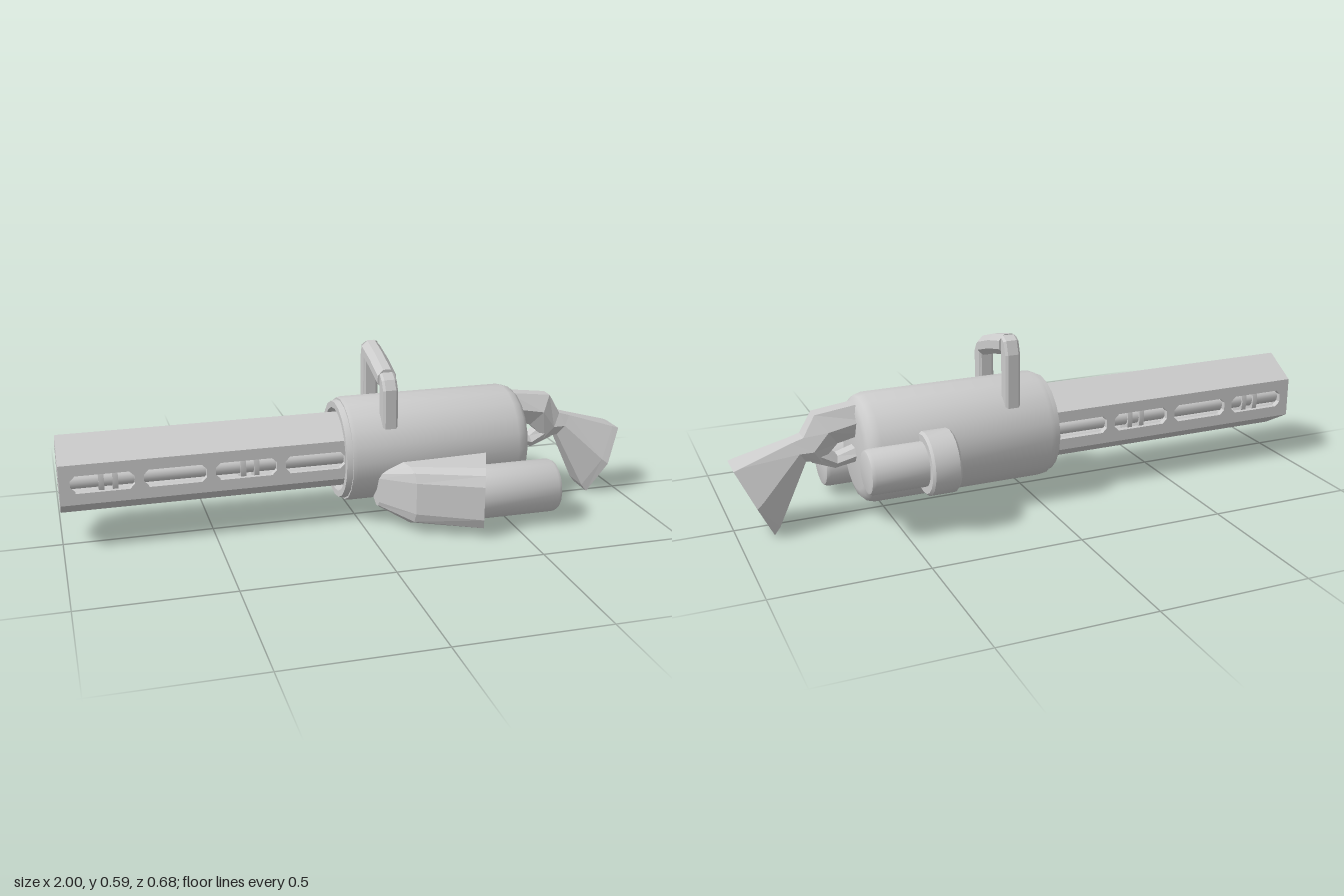
import * as THREE from 'three';
import { toCreasedNormals } from 'three/addons/utils/BufferGeometryUtils.js';

const AXIS_Y = 0.235, AXIS_Z = -0.036;

export function createModel() {
  const root = new THREE.Group();
  const mat = new THREE.MeshStandardMaterial({ color: 0xcccccc });
  const flat = new THREE.MeshStandardMaterial({ color: 0xcccccc, flatShading: true });

  function add(name, geo, material = mat, parent = root) {
    const m = new THREE.Mesh(geo, material);
    m.name = name;
    parent.add(m);
    return m;
  }

  // Turned part along x: profile is a list of [x, radius]
  function turned(name, profile, y, z, sides = 20, parent = root) {
    const pts = profile.map(([x, r]) => new THREE.Vector2(r, x));
    const geo = new THREE.LatheGeometry(pts, sides);
    geo.rotateZ(-Math.PI / 2);
    const m = add(name, toCreasedNormals(geo, 0.6), mat, parent);
    m.position.set(0, y, z);
    return m;
  }

  // Closed solid skinned over equal-length rings of [x, y, z]
  function loft(name, rings, material = flat) {
    const n = rings[0].length, tris = [];
    for (let s = 0; s + 1 < rings.length; s++) {
      for (let i = 0; i < n; i++) {
        const j = (i + 1) % n, a = rings[s], b = rings[s + 1];
        tris.push([a[i], a[j], b[j]], [a[i], b[j], b[i]]);
      }
    }
    const last = rings[rings.length - 1];
    for (let i = 1; i + 1 < n; i++) {
      tris.push([rings[0][0], rings[0][i + 1], rings[0][i]], [last[0], last[i], last[i + 1]]);
    }
    // Flip the winding when the enclosed volume comes out negative
    const v = tris.map(t => t.map(p => new THREE.Vector3(...p)));
    const volume = v.reduce((sum, [a, b, c]) => sum + a.dot(b.clone().cross(c)), 0);
    if (volume < 0) tris.forEach(t => t.reverse());
    const geo = new THREE.BufferGeometry();
    geo.setAttribute('position', new THREE.Float32BufferAttribute(tris.flat(2), 3));
    geo.computeVertexNormals();
    return add(name, geo, material);
  }

  // Main drum with a recessed front collar and rounded back
  turned('body', [
    [0.02, 0], [0.02, 0.146], [-0.06, 0.146], [-0.06, 0.168], [-0.04, 0.172],
    [-0.04, 0.178], [-0.025, 0.181], [0.555, 0.181], [0.58, 0.174], [0.595, 0.16],
    [0.602, 0.135], [0.602, 0],
  ], AXIS_Y, AXIS_Z);

  // Hexagonal shroud: six walls, slotted on both sides
  const shroud = new THREE.Group();
  shroud.name = 'barrelShroud';
  shroud.position.set(0, AXIS_Y, AXIS_Z);
  root.add(shroud);
  const hexR = 0.136, apothem = hexR * Math.cos(Math.PI / 6), wall = 0.02;
  function poly(points, Type) {
    return new Type(points.map(p => new THREE.Vector2(...p)));
  }
  for (let i = 0; i < 6; i++) {
    const h = hexR / 2;
    const shape = poly([[-0.998, -h], [0.02, -h], [0.02, h], [-0.998, h]], THREE.Shape);
    if (i % 3 === 0) {
      for (const x0 of [-0.965, -0.73, -0.495, -0.26]) {
        const x1 = x0 + 0.205, s = 0.03, c = 0.016;
        shape.holes.push(poly([[x0, c - s], [x0, s - c], [x0 + c, s], [x1 - c, s],
          [x1, s - c], [x1, c - s], [x1 - c, -s], [x0 + c, -s]], THREE.Path));
      }
    }
    const geo = new THREE.ExtrudeGeometry(shape, { depth: wall, bevelEnabled: false });
    geo.translate(0, 0, apothem - wall);
    geo.rotateX(i * Math.PI / 3);
    add('shroudWall', geo, flat, shroud);
  }

  // Muzzle plate with a ring of bores
  const hexPoints = [...Array(6).keys()].map(i => {
    const a = Math.PI / 2 + i * Math.PI / 3;
    return [hexR * 0.99 * Math.cos(a), hexR * 0.99 * Math.sin(a)];
  });
  const plate = poly(hexPoints, THREE.Shape);
  const ringR = 0.076, bores = 6;
  for (let i = 0; i < bores; i++) {
    const a = i * Math.PI * 2 / bores;
    plate.holes.push(new THREE.Path().absarc(ringR * Math.cos(a), ringR * Math.sin(a), 0.021, 0, Math.PI * 2));
  }
  plate.holes.push(new THREE.Path().absarc(0, 0, 0.021, 0, Math.PI * 2));
  const plateGeo = new THREE.ExtrudeGeometry(plate, { depth: 0.02, bevelEnabled: false, curveSegments: 10 });
  plateGeo.rotateY(Math.PI / 2);
  plateGeo.translate(-1, 0, 0);
  add('muzzlePlate', plateGeo, flat, shroud);

  // Inner barrels, hollow at the muzzle, and their clamp discs
  for (let i = 0; i <= bores; i++) {
    const a = i * Math.PI * 2 / bores, r = i < bores ? ringR : 0;
    turned('barrel', [[-0.92, 0], [-0.92, 0.02], [-0.985, 0.02], [-0.985, 0.026], [0.02, 0.026]],
      r * Math.sin(a), r * Math.cos(a), 12, shroud);
  }
  for (const x of [-0.875, -0.83, -0.41, -0.365]) {
    turned('barrelClamp', [[x, 0], [x, 0.108], [x + 0.018, 0.108], [x + 0.018, 0]], 0, 0, 20, shroud);
  }

  // Carry handle: two bent legs and an octagonal grip
  function handleLeg(name, outline) {
    const shape = poly(outline.map(([z, y]) => [-z, y]), THREE.Shape);
    const geo = new THREE.ExtrudeGeometry(shape, {
      depth: 0.036, bevelThickness: 0.008, bevelSize: 0.006, bevelOffset: -0.006, bevelSegments: 1,
    });
    geo.rotateY(Math.PI / 2);
    geo.translate(0.079, 0, 0);
    add(name, geo, flat);
  }
  handleLeg('handleFrontLeg', [[0.112, 0.34], [0.112, 0.475], [0.093, 0.507], [0.06, 0.527], [0.06, 0.34]]);
  handleLeg('handleBackLeg', [[-0.129, 0.34], [-0.129, 0.588], [-0.16, 0.575], [-0.175, 0.53], [-0.175, 0.34]]);
  loft('handleGrip', [[0.063, 0.501], [-0.034, 0.533], [-0.131, 0.556]].map(([z, y]) =>
    [...Array(8).keys()].map(i => {
      const a = (i + 0.5) * Math.PI / 4;
      return [0.097 + 0.035 * Math.cos(a), y + 0.037 * Math.sin(a), z];
    })));

  // Chamfered side housing, cut off by a slanted back face
  function housingRing(xOf, zOut, y0, y1, c) {
    return [
      [0, y0 + 0.05], [0.04, y0 + 0.03], [0.1, y0], [zOut - c, y0], [zOut - c * 0.3, y0 + c * 0.3],
      [zOut, y0 + c], [zOut, y1 - c], [zOut - c * 0.3, y1 - c * 0.3], [zOut - c, y1], [0, y1],
    ].map(([z, y]) => [xOf(z), y, z]);
  }
  const slant = z => 0.355 + (0.337 - z) * 0.39;
  loft('sideHousing', [
    housingRing(() => 0.05, 0.135, 0.07, 0.195, 0.02),
    housingRing(z => 0.15 - (0.24 - z) * 0.2, 0.24, 0.03, 0.23, 0.045),
    housingRing(slant, 0.338, 0.02, 0.236, 0.05),
  ]);
  turned('sideCanister', [
    [0.36, 0], [0.36, 0.092], [0.645, 0.092], [0.657, 0.086], [0.661, 0.075], [0.661, 0],
  ], 0.117, 0.202);

  // Motor on the opposite side: wide collar and narrow can
  turned('motorCollar', [
    [0.335, 0], [0.335, 0.096], [0.343, 0.104], [0.424, 0.104], [0.432, 0.096], [0.432, 0],
  ], 0.228, -0.234);
  turned('motorCan', [
    [0.42, 0], [0.42, 0.073], [0.605, 0.073], [0.617, 0.069], [0.62, 0.06], [0.62, 0],
  ], 0.228, -0.234);

  // Shoulder stock: hexagonal sections given by top and bottom points and half widths
  function stockRing([tx, ty, bx, by, edge, mid]) {
    const mx = (tx + bx) / 2, my = (ty + by) / 2;
    return [[tx, ty, edge], [mx, my, mid], [bx, by, edge], [bx, by, -edge], [mx, my, -mid], [tx, ty, -edge]]
      .map(([x, y, z]) => [x, y, z + AXIS_Z + 0.003]);
  }
  loft('stock', [
    [0.57, 0.395, 0.57, 0.29, 0.025, 0.048],
    [0.73, 0.375, 0.66, 0.27, 0.025, 0.06],
    [0.77, 0.305, 0.715, 0.215, 0.028, 0.05],
    [0.81, 0.293, 0.765, 0.225, 0.028, 0.046],
    [0.975, 0.243, 0.865, 0.025, 0.05, 0.092],
    [0.998, 0.235, 0.885, 0.0, 0.052, 0.098],
  ].map(stockRing));
  // Lower hook joining the grip to the drum
  loft('stockHook', [
    [0.58, 0.25, 0.58, 0.2, 0.02, 0.035],
    [0.66, 0.225, 0.67, 0.185, 0.02, 0.035],
    [0.72, 0.27, 0.745, 0.215, 0.02, 0.035],
  ].map(stockRing));

  return root;
}
